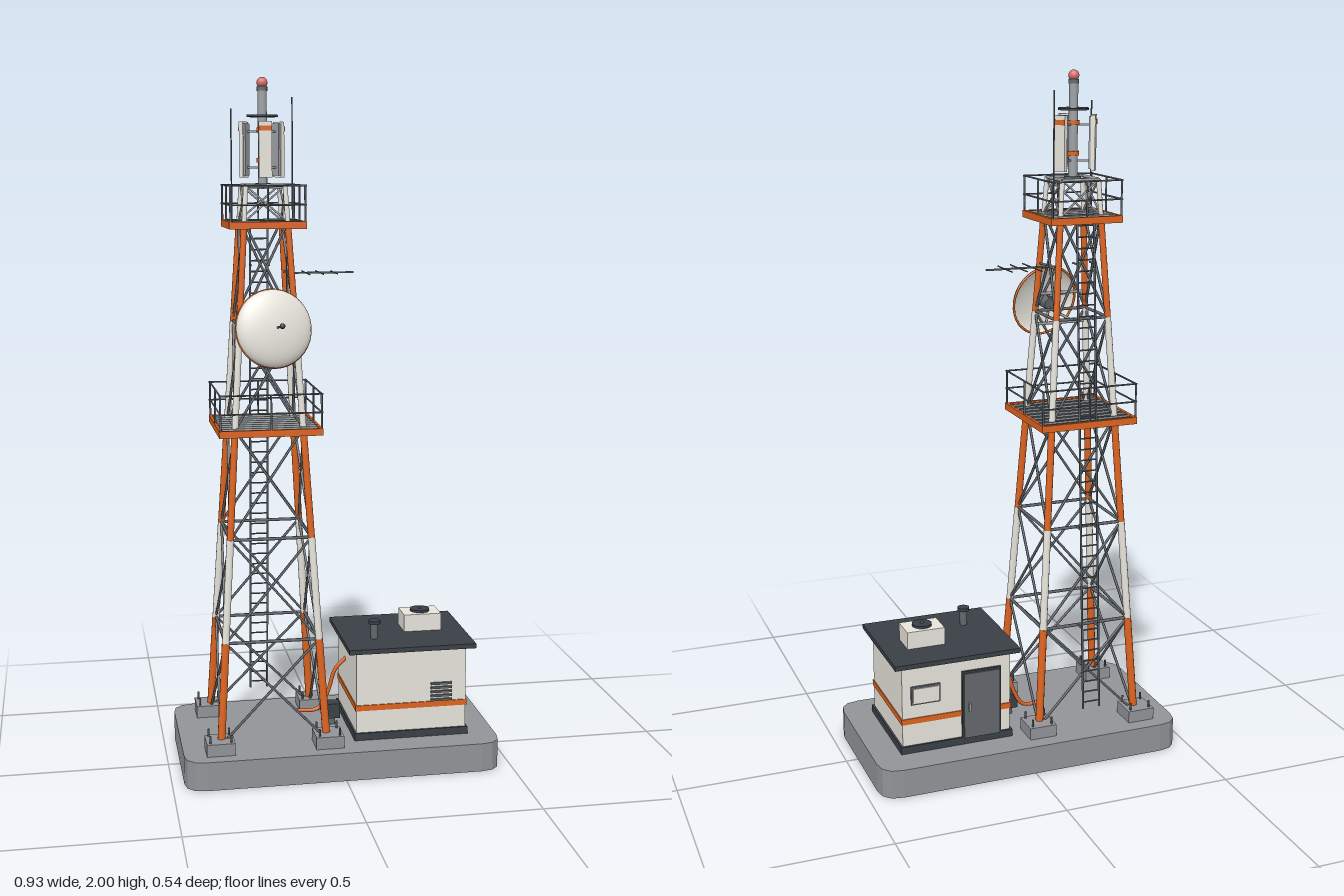
import * as THREE from 'three';

export function createModel() {
  const root = new THREE.Group();
  const M = {};
  const colours = {
    orange: 0xdd6420, white: 0xebe8df, steel: 0x63686d, lightSteel: 0x9ca1a5,
    concrete: 0x929397, roofDark: 0x3a4047, beaconRed: 0xdb7068,
  };
  for (const k in colours) {
    M[k] = new THREE.MeshStandardMaterial({ color: colours[k] });
    M[k].name = k;
  }
  M.white.side = THREE.DoubleSide; // the dish shell is open
  const V = (x, y, z) => new THREE.Vector3(x, y, z);
  const UP = V(0, 1, 0);
  const group = (name, x = 0, y = 0, z = 0, parent = root) => {
    const g = new THREE.Group();
    g.name = name;
    g.position.set(x, y, z);
    parent.add(g);
    return g;
  };
  const mesh = (p, name, geo, mat, x = 0, y = 0, z = 0) => {
    const m = new THREE.Mesh(geo, M[mat]);
    m.name = name;
    m.position.set(x, y, z);
    p.add(m);
    return m;
  };
  const box = (p, name, mat, x, y, z, w, h, d) => mesh(p, name, new THREE.BoxGeometry(w, h, d), mat, x, y, z);
  const cyl = (p, name, mat, x, y, z, r, h, n = 16) => mesh(p, name, new THREE.CylinderGeometry(r, r, h, n), mat, x, y, z);
  // Round bar between two points
  const bar = (p, name, mat, a, b, r, n = 6) => {
    const m = cyl(p, name, mat, 0, 0, 0, r, a.distanceTo(b), n);
    m.position.copy(a).lerp(b, 0.5);
    m.quaternion.setFromUnitVectors(UP, b.clone().sub(a).normalize());
  };

  // Ground slab with rounded corners
  const w = 0.465, d = 0.2425, c = 0.062;
  const s = new THREE.Shape();
  s.moveTo(-w + c, -d);
  s.lineTo(w - c, -d); s.quadraticCurveTo(w, -d, w, -d + c);
  s.lineTo(w, d - c); s.quadraticCurveTo(w, d, w - c, d);
  s.lineTo(-w + c, d); s.quadraticCurveTo(-w, d, -w, d - c);
  s.lineTo(-w, -d + c); s.quadraticCurveTo(-w, -d, -w + c, -d);
  const slabGeo = new THREE.ExtrudeGeometry(s, { depth: 0.085, bevelEnabled: false, curveSegments: 3 });
  mesh(root, 'groundSlab', slabGeo.rotateX(-Math.PI / 2), 'concrete', 0, 0, -0.0275);

  // Tower, local origin on its axis
  const tower = group('tower', -0.2, 0, -0.025);
  const half = (y) => 0.161 - 0.062 * y;
  const signs = [[1, 1], [1, -1], [-1, -1], [-1, 1]];
  const corner = (i, y) => {
    const [a, b] = signs[i % 4];
    return V(a * half(y), y, b * half(y));
  };
  const levels = [0.1, 0.4, 0.7, 1.015, 1.31, 1.6, 1.7];
  levels.slice(0, -1).forEach((y0, k) => {
    const y1 = levels[k + 1], last = k === 5;
    for (let i = 0; i < 4; i++) {
      bar(tower, 'legSection', k % 2 ? 'white' : 'orange', corner(i, y0), corner(i, y1), last ? 0.007 : 0.0115 - k * 0.0006, 10);
      const mat = last ? 'lightSteel' : 'steel', r = last ? 0.003 : 0.004;
      bar(tower, 'crossBrace', mat, corner(i, y0), corner(i + 1, y1), r);
      bar(tower, 'crossBrace', mat, corner(i + 1, y0), corner(i, y1), r);
      bar(tower, 'ringBeam', mat, corner(i, y1), corner(i + 1, y1), 0.0048);
    }
  });

  // Footings with anchor bolts
  signs.forEach(([a, b]) => {
    const f = group('footing', a * 0.159, 0, b * 0.159, tower);
    box(f, 'footingBlock', 'concrete', 0, 0.102, 0, 0.082, 0.038, 0.082);
    signs.forEach(([e, g]) => cyl(f, 'anchorBolt', 'steel', e * 0.03, 0.128, g * 0.03, 0.003, 0.03, 6));
  });

  // Railed platforms
  const platform = (y, h, posts) => {
    const p = group('platform', 0, y, 0, tower);
    box(p, 'deck', 'roofDark', 0, 0, 0, h * 2 - 0.01, 0.01, h * 2 - 0.01);
    const n = Math.round(h * 2 / 0.033);
    for (let i = 1; i < n; i++) box(p, 'deckSlat', 'lightSteel', 0, 0.007, -h + i * 2 * h / n, h * 2 - 0.012, 0.006, 0.005);
    for (let i = 0; i < 4; i++) {
      const side = group('platformSide', 0, 0, 0, p);
      side.rotation.y = i * Math.PI / 2;
      box(side, 'edgeBeam', 'orange', 0, -0.001, h - 0.005, h * 2, 0.02, 0.01);
      for (const ry of [0.055, 0.108])
        bar(side, 'handrail', 'steel', V(-h, ry, h - 0.004), V(h, ry, h - 0.004), 0.0026);
      for (let k = 0; k < posts; k++)
        cyl(side, 'railPost', 'steel', -h + 0.004 + k * (2 * h - 0.008) / posts, 0.055, h - 0.004, 0.003, 0.108, 6);
    }
  };
  platform(1.013, 0.148, 2);
  platform(1.593, 0.109, 2);

  // Ladder up the back face
  const ladder = group('ladder', 0, 0, 0, tower);
  const lz = (y) => -half(y) - 0.033;
  for (const x of [-0.026, 0.026]) {
    bar(ladder, 'ladderRail', 'steel', V(x, 0.15, lz(0.15)), V(x, 1.6, lz(1.6)), 0.0033);
    for (const y of [0.4, 0.7, 1.0, 1.31, 1.47])
      bar(ladder, 'ladderStandoff', 'steel', V(x, y, lz(y)), V(x, y, -half(y)), 0.003);
  }
  for (let y = 0.17; y < 1.59; y += 0.032)
    bar(ladder, 'ladderRung', 'steel', V(-0.026, y, lz(y)), V(0.026, y, lz(y)), 0.0024, 5);

  // Top mast with beacon
  const mast = group('mast', 0, 0, 0, tower);
  cyl(mast, 'mastPole', 'lightSteel', 0, 1.83, 0, 0.013, 0.28);
  cyl(mast, 'mastFoot', 'steel', 0, 1.7, 0, 0.024, 0.012);
  for (const y of [1.77, 1.855]) cyl(mast, 'mastBand', 'orange', 0, y, 0, 0.017, 0.013);
  cyl(mast, 'mastDisc', 'roofDark', 0, 1.893, 0, 0.044, 0.006, 24);
  cyl(mast, 'beaconSocket', 'steel', 0, 1.968, 0, 0.015, 0.012);
  mesh(mast, 'beacon', new THREE.SphereGeometry(0.0155, 16, 12), 'beaconRed', 0, 1.9845, 0);
  for (let i = 0; i < 2; i++) {
    const beam = box(mast, 'topBeam', 'lightSteel', 0, 1.695, 0, 0.11, 0.008, 0.01);
    beam.rotation.y = i * Math.PI / 2;
  }

  // Three sector panels around the mast
  for (let i = 0; i < 3; i++) {
    const a = group('sectorPanel', 0, 1.8, 0, mast);
    a.rotation.y = i * Math.PI * 2 / 3;
    box(a, 'panelBody', 'white', 0, 0, 0.058, 0.037, 0.155, 0.012);
    box(a, 'panelBack', 'lightSteel', 0, 0, 0.049, 0.03, 0.145, 0.006);
    box(a, 'panelStripe', 'orange', 0, 0.058, 0.065, 0.037, 0.014, 0.003);
    for (const y of [-0.05, 0.05]) box(a, 'panelBracket', 'lightSteel', 0, y, 0.03, 0.005, 0.005, 0.04);
  }

  // Whip aerials on the upper railing
  bar(tower, 'whipAerial', 'steel', V(-0.1, 1.6, 0.1), V(-0.1, 1.91, 0.1), 0.0022);
  bar(tower, 'whipAerial', 'steel', V(0.1, 1.6, -0.1), V(0.1, 1.95, -0.1), 0.0022);

  // Side aerial with cross elements
  const aerial = group('sideAerial', 0, 1.452, 0, tower);
  bar(aerial, 'aerialBoom', 'steel', V(0.068, 0, 0), V(0.262, 0, 0), 0.003);
  bar(aerial, 'aerialMount', 'steel', V(0.07, 0, -0.07), V(0.07, 0, 0.07), 0.004);
  [0.122, 0.163, 0.205].forEach((x, i) => {
    const l = 0.075 - i * 0.009;
    bar(aerial, 'aerialElement', 'steel', V(x, 0, -l), V(x, 0, l), 0.0021);
  });

  // Dish: bowed shell, rim, hub and feed along local +y, aimed outward
  const dish = group('dish', 0, 1.315, 0.206, tower);
  dish.quaternion.setFromUnitVectors(UP, V(0.17, 0.19, 1).normalize());
  const profile = [];
  for (let i = 0; i <= 12; i++) {
    const t = i / 12 * Math.PI / 2;
    profile.push(new THREE.Vector2(0.108 * Math.cos(t), 0.036 * Math.sin(t)));
  }
  mesh(dish, 'dishShell', new THREE.LatheGeometry(profile, 36), 'white');
  mesh(dish, 'dishRim', new THREE.TorusGeometry(0.107, 0.0036, 8, 36).rotateX(Math.PI / 2), 'orange', 0, -0.002, 0);
  cyl(dish, 'dishHub', 'steel', 0, -0.004, 0, 0.02, 0.066);
  cyl(dish, 'feedArm', 'steel', 0, 0.056, 0, 0.003, 0.045, 8);
  mesh(dish, 'feedHorn', new THREE.SphereGeometry(0.008, 10, 8), 'roofDark', 0, 0.08, 0);
  for (const x of [-1, 1]) for (const y of [-1, 1])
    bar(tower, 'dishStrut', 'lightSteel', V(0, 1.315 + y * 0.018, 0.17), V(x * 0.045, 1.315 + y * 0.045, half(1.315)), 0.0042);
  for (const y of [1.27, 1.36])
    bar(tower, 'dishCrossbar', 'lightSteel', V(-half(y), y, half(y)), V(half(y), y, half(y)), 0.005);

  // Equipment hut
  const hut = group('hut', 0.211, 0, -0.026);
  box(hut, 'hutPlinth', 'roofDark', 0, 0.096, 0, 0.342, 0.022, 0.306);
  box(hut, 'hutWalls', 'white', 0, 0.231, 0, 0.33, 0.25, 0.294);
  box(hut, 'hutStripe', 'orange', 0, 0.183, 0, 0.336, 0.017, 0.3);
  box(hut, 'hutRoof', 'roofDark', 0, 0.361, 0, 0.38, 0.014, 0.338);
  for (let i = 0; i < 5; i++) box(hut, 'louvreSlat', 'steel', 0.09, 0.196 + i * 0.0125, 0.151, 0.064, 0.006, 0.008);
  // Back door and wall hatch
  box(hut, 'doorFrame', 'roofDark', -0.075, 0.209, -0.15, 0.12, 0.21, 0.009);
  box(hut, 'door', 'steel', -0.075, 0.207, -0.155, 0.11, 0.202, 0.008);
  box(hut, 'doorHandle', 'lightSteel', -0.035, 0.205, -0.163, 0.006, 0.025, 0.01);
  box(hut, 'hatchFrame', 'steel', 0.095, 0.262, -0.149, 0.088, 0.056, 0.008);
  box(hut, 'hatchPanel', 'white', 0.095, 0.262, -0.153, 0.077, 0.045, 0.006);
  // Roof unit and vent pipe
  box(hut, 'roofUnit', 'white', 0.063, 0.394, -0.022, 0.114, 0.052, 0.082);
  cyl(hut, 'roofFan', 'roofDark', 0.063, 0.423, -0.022, 0.029, 0.008, 24);
  cyl(hut, 'fanHub', 'steel', 0.063, 0.429, -0.022, 0.005, 0.006, 10);
  cyl(hut, 'ventPipe', 'steel', -0.095, 0.392, 0.062, 0.011, 0.05);
  cyl(hut, 'ventCap', 'roofDark', -0.095, 0.418, 0.062, 0.018, 0.01);

  // Junction box and cable run between hut and tower
  box(root, 'junctionBox', 'roofDark', -0.003, 0.13, -0.028, 0.048, 0.045, 0.04);
  box(root, 'junctionPost', 'steel', -0.003, 0.095, -0.028, 0.02, 0.03, 0.02);
  const run = new THREE.CatmullRomCurve3([
    V(0.048, 0.28, -0.06), V(0.015, 0.245, -0.06), V(-0.01, 0.17, -0.06), V(-0.04, 0.123, -0.06), V(-0.105, 0.12, -0.06),
  ]);
  mesh(root, 'cableRun', new THREE.TubeGeometry(run, 24, 0.006, 8), 'orange');
  return root;
}
